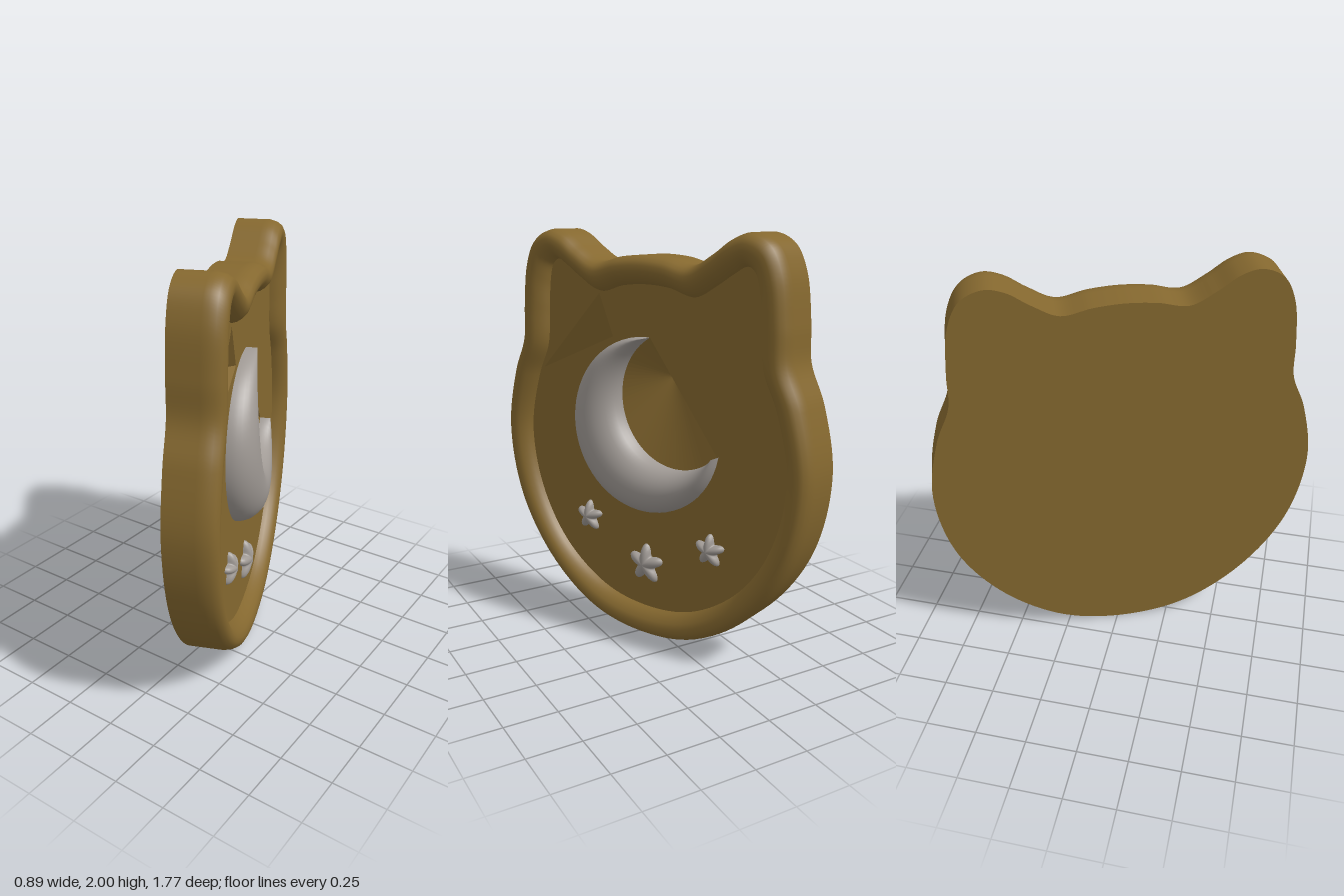
import * as THREE from 'three';

const BACK = -0.108, FLOOR = 0.05;
const lerp = THREE.MathUtils.lerp;

// Right half of each contour, bottom to top; the left half is mirrored
const OUTER = [[0, 0], [0.33, 0.06], [0.63, 0.27], [0.843, 0.585], [0.918, 0.96], [0.862, 1.27],
  [0.79, 1.45], [0.78, 1.62], [0.75, 1.84], [0.69, 1.955], [0.59, 2.0], [0.5, 1.98],
  [0.4, 1.915], [0.28, 1.855], [0.14, 1.88], [0, 1.89]];
const INNER = [[0, 0.138], [0.28, 0.185], [0.55, 0.365], [0.725, 0.64], [0.787, 0.96], [0.725, 1.25],
  [0.652, 1.42], [0.635, 1.6], [0.625, 1.74], [0.6, 1.83], [0.555, 1.857], [0.48, 1.82],
  [0.4, 1.77], [0.28, 1.712], [0.14, 1.745], [0, 1.756]];

function contour(half, n) {
  const left = half.slice(1, -1).reverse().map(([x, y]) => [-x, y]);
  const pts = [...half, ...left].map(([x, y]) => new THREE.Vector3(x, y, 0));
  const curve = new THREE.CatmullRomCurve3(pts, true);
  return Array.from({ length: n }, (_, i) => curve.getPoint(i / n));
}

// Smooth surface from fn(i, j) -> [x, y, z]; columns wrap when closed
function grid(fn, nu, nv, closed) {
  const pos = [], index = [];
  const cols = closed ? nu : nu + 1;
  for (let i = 0; i < cols; i++) for (let j = 0; j <= nv; j++) pos.push(...fn(i, j));
  for (let i = 0; i < nu; i++) {
    for (let j = 0; j < nv; j++) {
      const a = i * (nv + 1) + j, b = ((i + 1) % cols) * (nv + 1) + j;
      index.push(a, b, b + 1, a, b + 1, a + 1);
    }
  }
  const g = new THREE.BufferGeometry();
  g.setAttribute('position', new THREE.Float32BufferAttribute(pos, 3));
  g.setIndex(index);
  g.computeVertexNormals();
  return g;
}

// Hollow running from a loop on the floor down to one deep point
function pit(loop, deep) {
  const pos = [];
  loop.forEach((p, i) => {
    const q = loop[(i + 1) % loop.length];
    pos.push(p.x, p.y, FLOOR, q.x, q.y, FLOOR, ...deep);
  });
  const g = new THREE.BufferGeometry();
  g.setAttribute('position', new THREE.Float32BufferAttribute(pos, 3));
  g.computeVertexNormals();
  return g;
}

function arc(cx, cy, r, fromDeg, toDeg, n) {
  return Array.from({ length: n + 1 }, (_, i) => {
    const a = THREE.MathUtils.degToRad(lerp(fromDeg, toDeg, i / n));
    return new THREE.Vector2(cx + r * Math.cos(a), cy + r * Math.sin(a));
  });
}

export function createModel() {
  const brown = new THREE.MeshStandardMaterial({ color: 0x85682f });
  brown.name = 'brown';
  const grey = new THREE.MeshStandardMaterial({ color: 0xa09a95 });
  grey.name = 'grey';

  const plaque = new THREE.Group();
  plaque.name = 'plaque';
  const add = (name, geometry, material) => {
    const mesh = new THREE.Mesh(geometry, material);
    mesh.name = name;
    plaque.add(mesh);
    return mesh;
  };

  // Side wall and rounded rim: [blend from outer to inner contour, height]
  const N = 240;
  const outer = contour(OUTER, N), inner = contour(INNER, N);
  const rim = [[0, BACK], [0, 0.03], [0, 0.055], [0.06, 0.088], [0.17, 0.112], [0.33, 0.124],
    [0.52, 0.124], [0.7, 0.113], [0.85, 0.093], [0.95, 0.072], [1, FLOOR]];
  add('rim', grid((i, j) => {
    const [k, z] = rim[j];
    return [lerp(outer[i].x, inner[i].x, k), lerp(outer[i].y, inner[i].y, k), z];
  }, N, rim.length - 1, true), brown);

  // Flat back
  const back = new THREE.ShapeGeometry(new THREE.Shape(outer.map(p => new THREE.Vector2(-p.x, p.y))));
  back.rotateY(Math.PI).translate(0, 0, BACK);
  add('back', back, brown);

  // Recessed floor with two hollows
  const T = 48;
  const moonOuter = arc(0, 1.08, 0.43, 87.3, 348.5, T);
  const moonInner = arc(0.174, 1.22, 0.327, 118, 316.4, T);
  const earHollow = [[-0.69, 1.294], [-0.21, 1.496], [-0.295, 1.7]].map(p => new THREE.Vector2(...p));
  const floorShape = new THREE.Shape(inner.map(p => new THREE.Vector2(p.x, p.y)));
  floorShape.holes.push(new THREE.Path(moonInner), new THREE.Path(earHollow));
  const floor = new THREE.ShapeGeometry(floorShape);
  floor.translate(0, 0, FLOOR);
  add('floor', floor, brown);
  add('moonHollow', pit(moonInner, [0.08, 1.316, -0.07]), brown);
  add('earHollow', pit(earHollow, [-0.265, 1.486, -0.05]), brown);

  // Domed crescent, thickest in the middle
  const V = 16;
  add('moon', grid((i, j) => {
    const v = (1 - Math.cos(Math.PI * j / V)) / 2;
    const dome = Math.sqrt(Math.max(0, 4 * v * (1 - v)));
    const height = 0.055 + 0.082 * Math.sin(Math.PI * i / T);
    const a = moonOuter[i], b = moonInner[i];
    return [lerp(a.x, b.x, v), lerp(a.y, b.y, v), FLOOR + height * dome];
  }, T, V, false), grey);

  // Puffed stars
  const star = (r) => grid((i, j) => {
    const a = i / 60 * Math.PI * 2, s = Math.cos(j / 8 * Math.PI / 2);
    const reach = r * s * (0.75 + 0.25 * Math.cos(5 * a));
    return [-reach * Math.sin(a), reach * Math.cos(a), 0.045 * Math.sin(j / 8 * Math.PI / 2)];
  }, 60, 8, true);
  for (const [name, x, y, r] of [['leftStar', -0.376, 0.545, 0.083],
    ['rightStar', 0.385, 0.533, 0.083], ['middleStar', 0, 0.37, 0.105]]) {
    add(name, star(r), grey).position.set(x, y, FLOOR);
  }

  // Whole plaque stands turned to the side
  plaque.rotation.y = THREE.MathUtils.degToRad(112.1);
  const model = new THREE.Group();
  model.name = 'model';
  model.add(plaque);
  return model;
}
